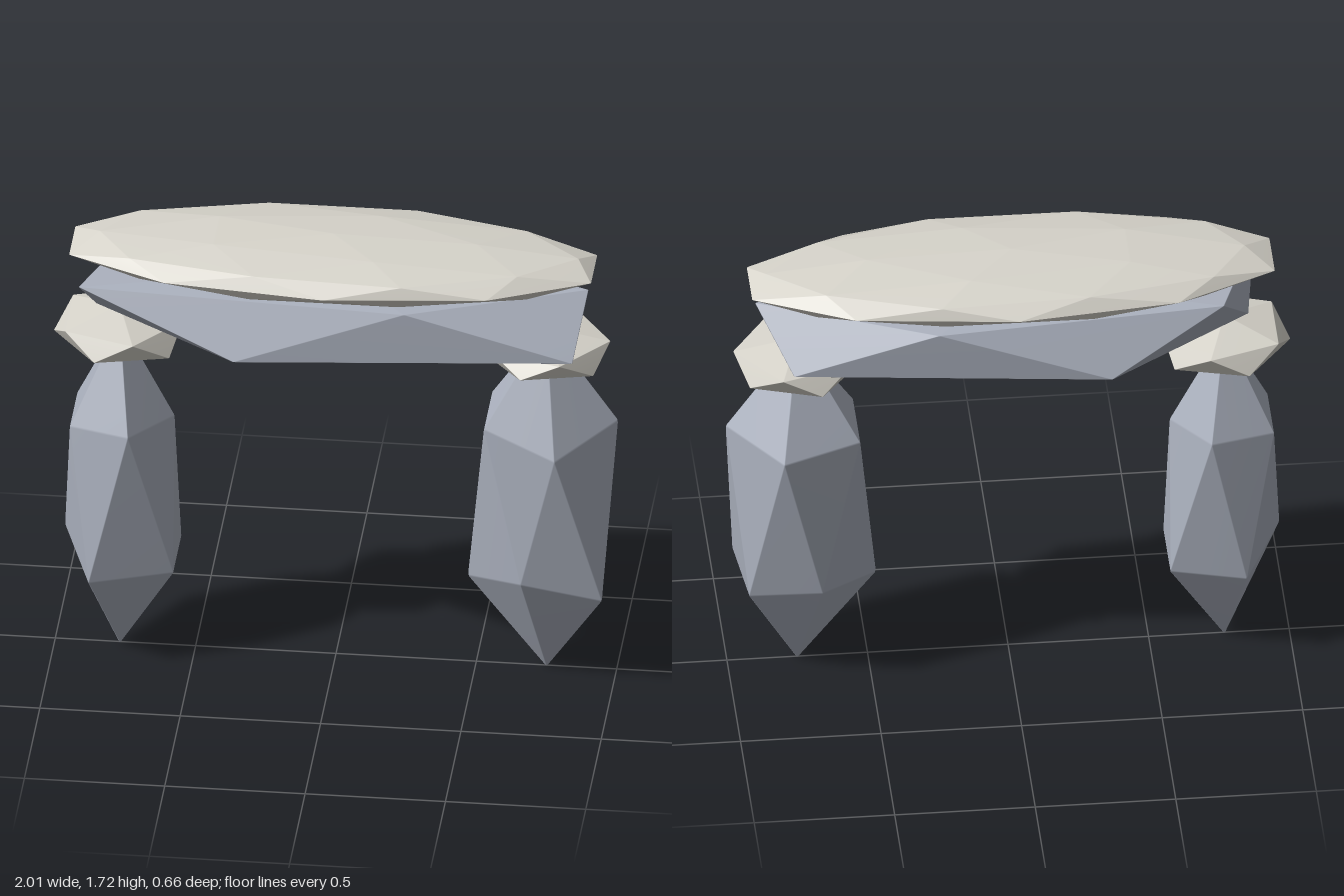
import * as THREE from 'three';
import { ConvexGeometry } from 'three/addons/geometries/ConvexGeometry.js';
import { mergeVertices } from 'three/addons/utils/BufferGeometryUtils.js';

// Unit icosahedron standing on a corner.
// 0 = bottom, 1-5 = lower ring (1 at -x), 6-10 = upper ring (6 at +x), 11 = top.
function unitPoints() {
  const pts = [new THREE.Vector3(0, -1, 0)];
  for (const side of [-1, 1]) {
    for (let i = 0; i < 5; i++) {
      const a = (i * Math.PI * 2) / 5;
      pts.push(new THREE.Vector3(side * Math.cos(a) * 0.894, side * 0.447, Math.sin(a) * 0.894));
    }
  }
  pts.push(new THREE.Vector3(0, 1, 0));
  return pts;
}

// Adds the edge midpoints, pushed out to the sphere.
function subdivide(pts) {
  const out = [...pts];
  pts.forEach((a, i) => pts.slice(i + 1).forEach((b) => {
    if (a.distanceTo(b) < 1.1) out.push(a.clone().add(b).normalize());
  }));
  return out;
}

// Faceted hull with narrow, softly shaded bevels: every face shrinks and the
// area-weighted normals keep the large faces flat.
function bevelledHull(pts, bevel) {
  const pos = new ConvexGeometry(pts).attributes.position;
  const corners = [];
  for (let i = 0; i < pos.count; i += 3) {
    const tri = [0, 1, 2].map((k) => new THREE.Vector3().fromBufferAttribute(pos, i + k));
    const mid = new THREE.Vector3().add(tri[0]).add(tri[1]).add(tri[2]).divideScalar(3);
    tri.forEach((p) => corners.push(p.lerp(mid, bevel)));
  }
  const hull = new ConvexGeometry(corners);
  hull.deleteAttribute('normal');
  const smooth = mergeVertices(hull, 1e-5);
  smooth.computeVertexNormals();
  return smooth;
}

export function createModel() {
  const group = new THREE.Group();
  const slate = new THREE.MeshStandardMaterial({ color: 0xabb1be });
  slate.name = 'blue grey stone';
  const pale = new THREE.MeshStandardMaterial({ color: 0xd7d4cb });
  pale.name = 'pale stone';

  function stone(name, material, center, radii, { fine = false, bevel = 0.025, moved = {} } = {}) {
    const c = new THREE.Vector3(...center);
    const r = new THREE.Vector3(...radii);
    const base = fine ? subdivide(unitPoints()) : unitPoints();
    const pts = base.map((p) => p.multiply(r).add(c));
    for (const [i, p] of Object.entries(moved)) pts[i].set(...p);
    const mesh = new THREE.Mesh(bevelledHull(pts, bevel), material);
    mesh.name = name;
    group.add(mesh);
  }

  // Pointed pillars
  stone('rightPillar', slate, [-0.77, 0.655, 0], [0.225, 0.66, 0.22], {
    moved: {
      1: [-0.965, 0.47, 0], 2: [-0.855, 0.375, 0.245],
      3: [-0.565, 0.37, 0.13], 4: [-0.565, 0.37, -0.13],
      6: [-0.575, 0.94, 0], 7: [-0.72, 0.95, 0.2],
      8: [-0.935, 0.94, 0.12], 9: [-0.935, 0.94, -0.12],
    },
  });
  stone('leftPillar', slate, [0.75, 0.69, 0], [0.282, 0.695, 0.28], {
    moved: {
      1: [0.47, 0.35, 0], 2: [0.68, 0.44, 0.205], 5: [0.68, 0.42, -0.215],
      3: [0.965, 0.37, 0.165], 4: [0.935, 0.38, -0.15],
      6: [1.005, 1.02, 0], 7: [0.8, 0.95, 0.205], 10: [0.82, 1.02, -0.265],
      8: [0.54, 1.02, 0.12], 9: [0.54, 1.02, -0.15],
    },
  });

  // Flat bearing stones
  stone('rightBearingStone', pale, [-0.77, 1.295, 0], [0.25, 0.085, 0.25], {
    moved: { 1: [-1.005, 1.26, 0], 3: [-0.58, 1.245, 0.13], 4: [-0.58, 1.245, -0.13], 6: [-0.545, 1.325, 0] },
  });
  stone('leftBearingStone', pale, [0.75, 1.305, 0], [0.25, 0.08, 0.25], {
    moved: {
      1: [0.515, 1.27, 0], 2: [0.68, 1.285, 0.218], 5: [0.68, 1.275, -0.218],
      6: [0.978, 1.34, 0], 7: [0.82, 1.35, 0.22], 10: [0.82, 1.35, -0.22],
    },
  });

  // Lintel beam
  stone('lintel', slate, [0, 1.43, 0], [1.2, 0.16, 0.38], {
    bevel: 0.012,
    moved: {
      1: [-0.855, 1.38, 0],
      2: [-0.33, 1.36, 0.33], 5: [-0.34, 1.36, -0.33],
      3: [0.865, 1.36, 0.21], 4: [0.78, 1.36, -0.205],
      6: [0.9, 1.545, 0],
      7: [0.27, 1.545, 0.25], 10: [0.27, 1.545, -0.265],
      8: [-0.895, 1.56, 0.205], 9: [-0.75, 1.56, -0.2],
      11: [0, 1.585, 0],
    },
  });

  // Shallow capstone
  stone('capstone', pale, [-0.01, 1.63, 0], [0.978, 0.088, 0.326], {
    fine: true, moved: { 0: [-0.01, 1.56, 0] },
  });

  return group;
}
